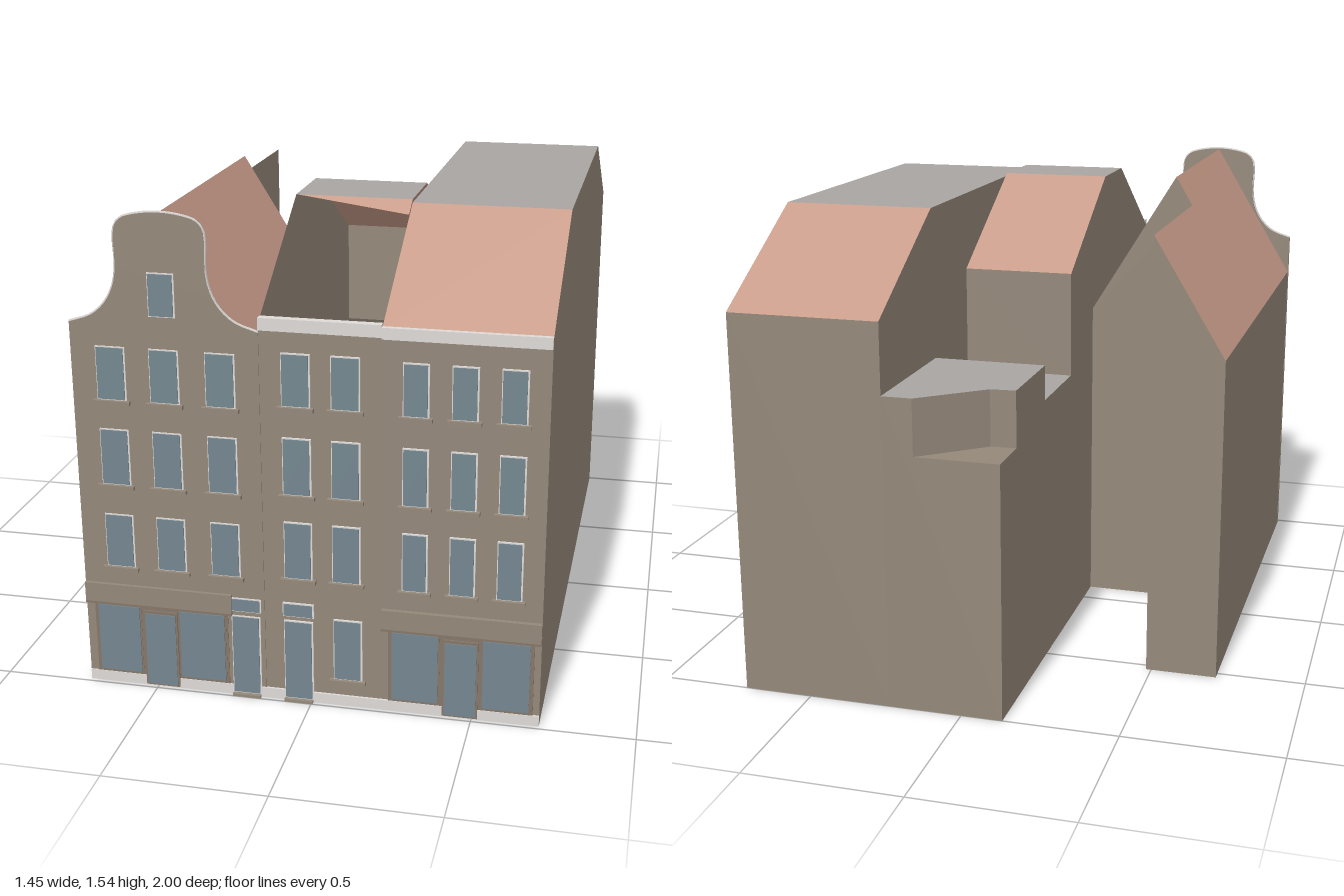
import * as THREE from 'three';

const paint = (name, color) => {
  const m = new THREE.MeshStandardMaterial({ color, side: THREE.DoubleSide });
  m.name = name;
  return m;
};

export function createModel() {
  const model = new THREE.Group();
  model.name = 'canalHouses';
  const wall = paint('wall', 0x94887a);
  const tile = paint('roofTile', 0xc89b89);
  const flat = paint('flatRoof', 0xa8a4a2);
  const glass = paint('glass', 0x758790);
  const trim = paint('trim', 0xdedad6);
  const wood = paint('shopWood', 0x85776a);

  const group = (name) => {
    const g = new THREE.Group();
    g.name = name;
    model.add(g);
    return g;
  };

  // Planar polygon in space, optionally with a hole; the plots lean slightly in x with depth
  const panel = (parent, name, mat, pts, hole = []) => {
    const V = (list) => list.map(([x, y, z]) => new THREE.Vector3(x - 0.007 * z, y, z));
    const outer = V(pts), inner = V(hole), n = new THREE.Vector3();
    outer.forEach((a, i) => n.add(new THREE.Vector3().crossVectors(a, outer[(i + 1) % outer.length])));
    const ax = Math.abs(n.x), ay = Math.abs(n.y), az = Math.abs(n.z);
    const to2 = (v) => ax > ay && ax > az ? new THREE.Vector2(v.y, v.z)
      : ay > az ? new THREE.Vector2(v.z, v.x) : new THREE.Vector2(v.x, v.y);
    const faces = THREE.ShapeUtils.triangulateShape(outer.map(to2), inner.length ? [inner.map(to2)] : []);
    const all = outer.concat(inner), tri = [];
    for (const [a, b, c] of faces) {
      const fn = new THREE.Vector3().crossVectors(all[b].clone().sub(all[a]), all[c].clone().sub(all[a]));
      tri.push(all[a], ...(fn.dot(n) >= 0 ? [all[b], all[c]] : [all[c], all[b]]));
    }
    const geo = new THREE.BufferGeometry().setFromPoints(tri);
    geo.computeVertexNormals();
    const mesh = new THREE.Mesh(geo, mat);
    mesh.name = name;
    parent.add(mesh);
  };
  const side = (p, name, x, zy) => panel(p, name, wall, zy.map(([z, y]) => [x, y, z]));
  const level = (p, name, mat, y, xz, hole = []) =>
    panel(p, name, mat, xz.map(([x, z]) => [x, y, z]), hole.map(([x, z]) => [x, y, z]));
  // Face spanning x0..x1 between two (z, y) points
  const span = (p, name, mat, x0, x1, [za, ya], [zb, yb]) =>
    panel(p, name, mat, [[x0, ya, za], [x1, ya, za], [x1, yb, zb], [x0, yb, zb]]);
  const box = (parent, name, mat, x0, x1, y0, y1, z0, z1) => {
    const m = new THREE.Mesh(new THREE.BoxGeometry(x1 - x0, y1 - y0, z1 - z0), mat);
    m.position.set((x0 + x1) / 2, (y0 + y1) / 2, (z0 + z1) / 2);
    m.name = name;
    parent.add(m);
  };

  const F = 0.98, XL = -0.718, XM = -0.14, XR = 0.227, XE = 0.714;

  // Right house: mansard-like block running the full depth
  const right = group('rightHouse');
  const rp = [[F, 0], [F, 1.23], [0.52, 1.495], [-0.54, 1.495], [-1, 1.23], [-1, 0]];
  side(right, 'partyWall', XR, [...rp].reverse());
  side(right, 'endWall', XE, rp);
  [['frontWall', wall], ['frontRoof', tile], ['topRoof', flat], ['backRoof', tile], ['backWall', wall]]
    .forEach(([name, mat], i) => span(right, name, mat, XR, XE, rp[i], rp[i + 1]));

  // Middle house: roof open at the front, stepped terraces at the back
  const mid = group('middleHouse');
  side(mid, 'sideWall', XM, [[F, 0], [F, 1.22], [0.52, 1.505], [0.27, 1.505], [-0.2, 1.24], [-0.2, 0.89],
    [-0.52, 0.89], [-0.52, 1.005], [-0.835, 1.005], [-0.835, 0.825], [-1, 0.825], [-1, 0]]);
  span(mid, 'frontWall', wall, XM, XR, [F, 0], [F, 1.22]);
  panel(mid, 'frontRoofRemnant', tile, [[XM, 1.505, 0.52], [XR, 1.47, 0.58], [XR, 1.505, 0.52]]);
  span(mid, 'topRoof', flat, XM, XR, [0.52, 1.505], [0.27, 1.505]);
  span(mid, 'backRoof', tile, XM, XR, [0.27, 1.505], [-0.2, 1.24]);
  span(mid, 'upperBackWall', wall, XM, XR, [-0.2, 1.24], [-0.2, 0.89]);
  const shaft = [[0.1, -0.42], [0.225, -0.42], [0.225, -0.51], [0.1, -0.51]];
  level(mid, 'lowerTerrace', flat, 0.89, [[XM, -0.2], [XR, -0.2], [XR, -0.52], [XM, -0.52]], shaft);
  shaft.forEach(([x, z], i) => {
    const [u, w] = shaft[(i + 1) % 4];
    panel(mid, 'lightShaft', wall, [[x, 0, z], [u, 0, w], [u, 0.89, w], [x, 0.89, z]]);
  });
  span(mid, 'terraceStep', wall, XM, XR, [-0.52, 0.89], [-0.52, 1.005]);
  const cut = [[0.13, -1], [-0.06, -0.84], [XM, -0.835]];
  level(mid, 'upperTerrace', flat, 1.005, [[XM, -0.52], [XR, -0.52], [XR, -1], ...cut]);
  level(mid, 'cornerLedge', wall, 0.825, [...cut, [XM, -1]]);
  for (let i = 0; i < 2; i++) {
    const [x, z] = cut[i], [u, w] = cut[i + 1];
    panel(mid, 'cornerWall', wall, [[x, 0.825, z], [x, 1.005, z], [u, 1.005, w], [u, 0.825, w]]);
  }
  panel(mid, 'backWall', wall, [[XR, 0, -1], [XM, 0, -1], [XM, 0.825, -1], [0.13, 0.825, -1],
    [0.13, 1.005, -1], [XR, 1.005, -1]]);

  // Left house: steep ridge roof with a narrow rear wing
  const left = group('leftHouse');
  const RX = -0.43, RY = 1.535, EY = 1.06, WX = -0.487, WY = 1.44, WZ = -0.53, BZ = 0.1;
  panel(left, 'outerWall', wall, [[XL, 0, WZ], [XL, 0, F], [XL, EY, F], [XL, EY, WZ]]);
  panel(left, 'outerRoof', tile, [[XL, EY, WZ], [XL, EY, F], [RX, RY, F], [RX, RY, BZ], [WX, WY, BZ], [WX, WY, WZ]]);
  panel(left, 'innerRoof', tile, [[XM, EY, F], [XM, EY, BZ], [RX, RY, BZ], [RX, RY, F]]);
  panel(left, 'backGable', wall, [[XM, 0, BZ], [WX, 0, BZ], [WX, WY, BZ], [RX, RY, BZ], [XM, EY, BZ]]);
  panel(left, 'wingSide', wall, [[WX, 0, BZ], [WX, 0, WZ], [WX, WY, WZ], [WX, WY, BZ]]);
  panel(left, 'wingBack', wall, [[WX, 0, WZ], [XL, 0, WZ], [XL, EY, WZ], [WX, WY, WZ]]);

  // Shared underside, pierced by the light shaft
  level(model, 'underside', wall, 0, [[XL, F], [XL, WZ], [WX, WZ], [WX, BZ], [XM, BZ], [XM, -1], [XE, -1], [XE, F]], shaft);

  // Bell gable facade with a pale coping
  const half = [[0.29, 1.195], [0.22, 1.22], [0.175, 1.26], [0.148, 1.31], [0.136, 1.37], [0.135, 1.485],
    [0.115, 1.515], [0.07, 1.53]];
  const GX = -0.436;
  const bell = [...half.map(([d, y]) => [GX - d, y]), [GX, 1.537], ...[...half].reverse().map(([d, y]) => [GX + d, y])];
  const curve = new THREE.CatmullRomCurve3(bell.map(([x, y]) => new THREE.Vector3(x, y, 0.978)));
  const shape = new THREE.Shape([new THREE.Vector2(GX - 0.29, 0),
    ...curve.getPoints(48).map((p) => new THREE.Vector2(p.x, p.y)), new THREE.Vector2(GX + 0.29, 0)]);
  const facade = new THREE.Mesh(new THREE.ExtrudeGeometry(shape, { depth: 0.018, bevelEnabled: false }), wall);
  facade.position.z = 0.965;
  facade.name = 'bellGable';
  const coping = new THREE.Mesh(new THREE.TubeGeometry(curve, 48, 0.005, 4), trim);
  coping.name = 'gableCoping';
  left.add(facade, coping);

  // Cornices and plinth
  box(mid, 'cornice', trim, -0.145, 0.22, 1.205, 1.243, 0.965, 0.99);
  box(right, 'cornice', trim, 0.22, 0.707, 1.2, 1.235, 0.965, 0.988);
  box(model, 'plinth', trim, -0.725, 0.707, 0, 0.034, 0.975, 0.987);

  // Glazed opening: pale frame edge, pane, optional sill
  const windows = group('windows');
  const pane = (cx, w, y0, y1, sill, frame = trim) => {
    const x0 = cx - w / 2, x1 = cx + w / 2;
    box(windows, 'frame', frame, x0 - 0.003, x1 + 0.005, y0, y1 + 0.004, 0.978, 0.986);
    box(windows, 'glass', glass, x0, x1, y0 + 0.003, y1, 0.982, 0.989);
    if (sill) box(windows, 'sill', wall, x0 - 0.015, x1 + 0.015, y0 - 0.013, y0, 0.975, 0.997);
  };
  const bays = [
    [[-0.603, -0.437, -0.265], 0.084, [[0.408, 0.58], [0.683, 0.86], [0.957, 1.122]]],
    [[-0.037, 0.112], 0.08, [[0.42, 0.602], [0.695, 0.873], [0.975, 1.136]]],
    [[0.32, 0.463, 0.605], 0.07, [[0.413, 0.597], [0.69, 0.868], [0.97, 1.13]]],
  ];
  for (const [cols, w, rows] of bays)
    for (const x of cols) for (const [y0, y1] of rows) pane(x, w, y0, y1, true);
  pane(-0.436, 0.074, 1.225, 1.355, false);
  pane(0.115, 0.082, 0.09, 0.29, true);

  // House doors with transom lights
  for (const x of [-0.207, -0.04]) {
    pane(x, 0.084, 0.008, 0.272, false);
    pane(x, 0.09, 0.29, 0.332, false);
  }

  // Shopfronts: fascia, timber surround, two display windows and a door
  const shop = (x0, x1, panes, door) => {
    const g = group('shopfront');
    box(g, 'fascia', wall, x0, x1, 0.283, 0.345, 0.975, 0.994);
    box(g, 'fasciaEdge', wood, x0, x1, 0.276, 0.283, 0.975, 0.996);
    box(g, 'surround', wood, panes[0][0] - 0.012, panes[1][1] + 0.012, 0.034, 0.278, 0.975, 0.985);
    for (const [a, b] of panes) pane((a + b) / 2, b - a, 0.04, 0.27, false, wood);
    box(g, 'doorFrame', wood, door[0] - 0.006, door[1] + 0.006, 0.004, 0.264, 0.975, 0.99);
    box(g, 'doorGlass', glass, door[0], door[1], 0.01, 0.254, 0.985, 0.993);
  };
  shop(-0.725, -0.25, [[-0.687, -0.552], [-0.42, -0.276]], [-0.532, -0.434]);
  shop(0.22, 0.707, [[0.253, 0.395], [0.532, 0.675]], [0.416, 0.513]);

  // Front door steps
  for (const x of [-0.207, -0.04]) box(model, 'doorStep', wall, x - 0.045, x + 0.045, 0, 0.008, 0.975, 1);
  return model;
}
